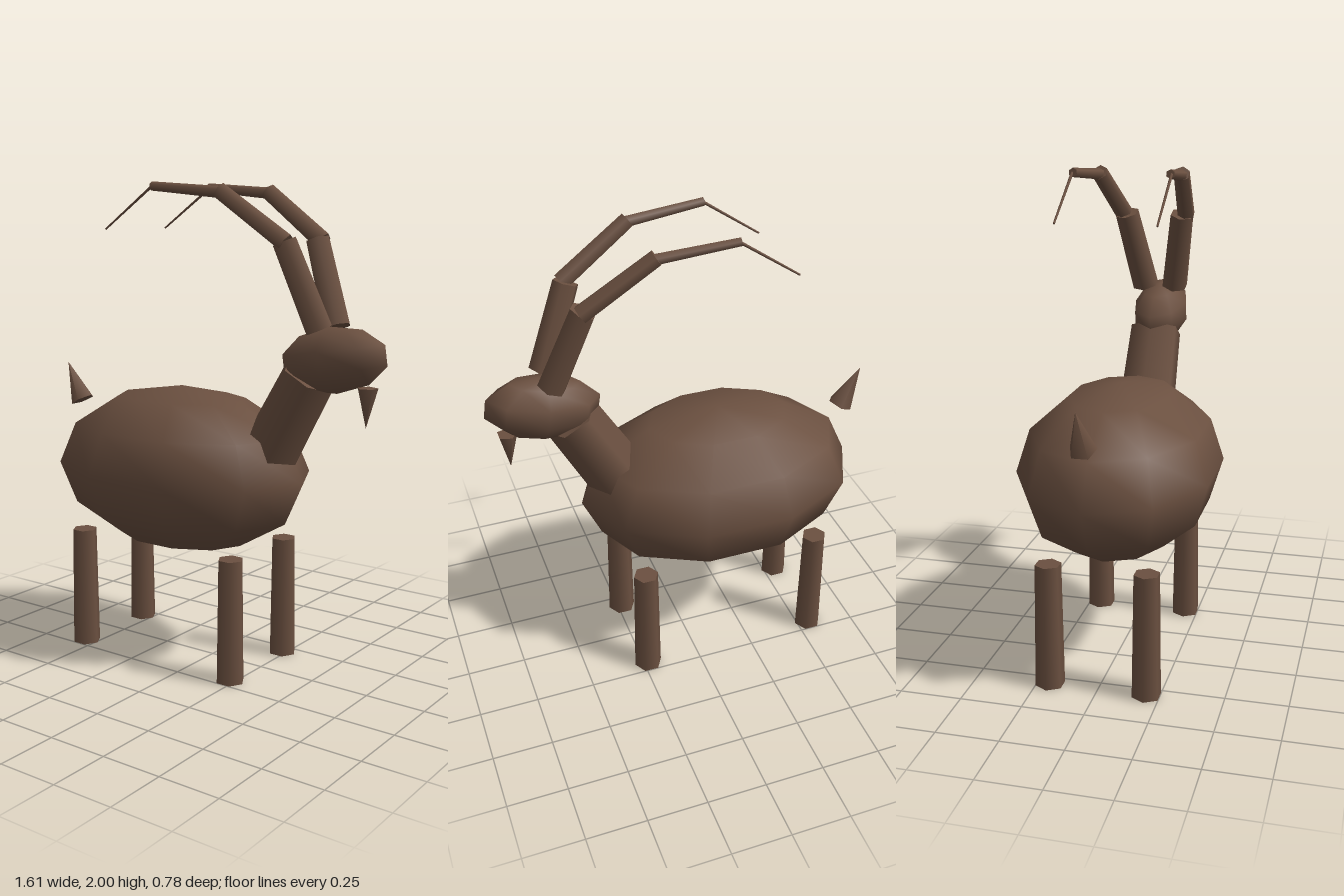
import * as THREE from 'three';

export function createModel() {
  const group = new THREE.Group();
  const brown = new THREE.MeshStandardMaterial({ color: 0x6b5040 });
  brown.name = 'brown coat';

  function add(name, geometry) {
    const mesh = new THREE.Mesh(geometry, brown);
    mesh.name = name;
    group.add(mesh);
    return mesh;
  }

  // Tapered prism from point a to point b, with one corner facing +x before tilting
  function limb(name, a, b, rA, rB, sides = 6) {
    const from = new THREE.Vector3(...a);
    const dir = new THREE.Vector3(...b).sub(from);
    const length = dir.length();
    const geo = new THREE.CylinderGeometry(rB, rA, length, sides, 1, false, Math.PI / 2);
    geo.translate(0, length / 2, 0);
    const mesh = add(name, geo);
    mesh.quaternion.setFromUnitVectors(new THREE.Vector3(0, 1, 0), dir.normalize());
    mesh.position.copy(from);
    return mesh;
  }

  // Ellipsoid
  function ellipsoid(name, pos, radii, across, down, tilt = 0) {
    const geo = new THREE.SphereGeometry(1, across, down);
    const mesh = add(name, geo);
    mesh.scale.set(...radii);
    mesh.rotation.z = tilt;
    mesh.position.set(...pos);
    return mesh;
  }

  ellipsoid('body', [-0.16, 0.81, 0], [0.6, 0.35, 0.41], 10, 6);
  ellipsoid('head', [0.57, 1.32, 0], [0.24, 0.13, 0.122], 8, 5, 0.15);
  limb('neck', [0.285, 0.93, 0], [0.465, 1.25, 0], 0.126, 0.115);
  limb('beard', [0.72, 1.225, 0], [0.717, 1.07, 0], 0.042, 0, 5);
  limb('tail', [-0.725, 1.045, 0], [-0.81, 1.21, 0], 0.054, 0, 5);

  // Legs and horns, mirrored on both sides
  for (const side of [1, -1]) {
    const label = side > 0 ? 'Near' : 'Far';
    limb('frontLeg' + label, [0.23, 0, side * 0.197], [0.23, 0.515, side * 0.197], 0.06, 0.053);
    limb('rearLeg' + label, [-0.55, 0, side * 0.197], [-0.55, 0.515, side * 0.197], 0.06, 0.053);

    // Horn sections: start, end, start radius, end radius
    const sections = [
      [[0.545, 1.44, 0.067], [0.42, 1.77, 0.122], 0.058, 0.052],
      [[0.435, 1.765, 0.137], [0.155, 1.96, 0.172], 0.038, 0.034],
      [[0.165, 1.953, 0.172], [-0.16, 1.98, 0.192], 0.023, 0.018],
      [[-0.155, 1.98, 0.196], [-0.4, 1.81, 0.196], 0.006, 0.004],
    ];
    sections.forEach(([a, b, rA, rB], i) => {
      limb('horn' + label + (i + 1), [a[0], a[1], a[2] * side], [b[0], b[1], b[2] * side], rA, rB);
    });
  }

  return group;
}
